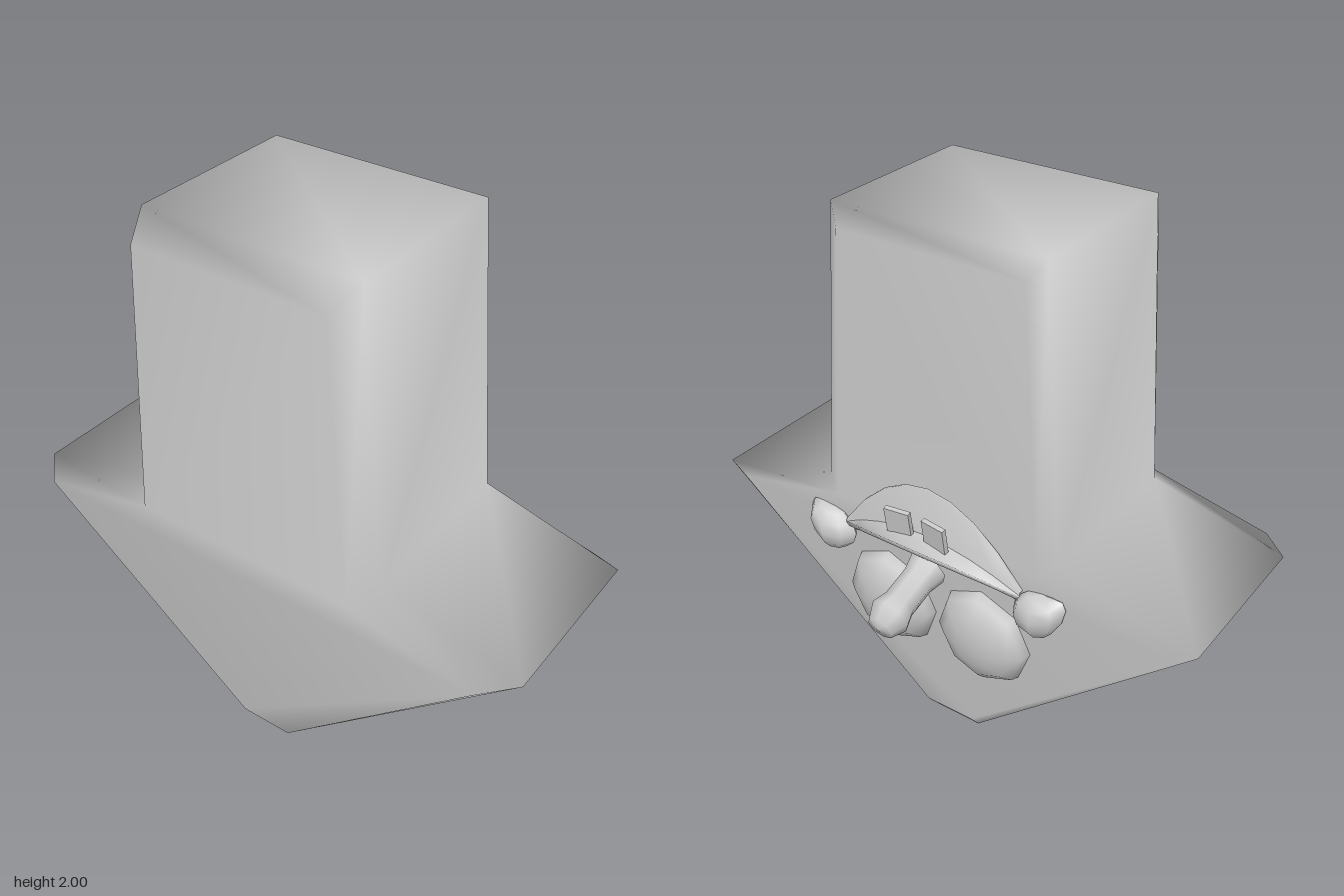
import * as THREE from 'three';

const grey = new THREE.MeshStandardMaterial({ color: 0xcccccc });
const greyThin = new THREE.MeshStandardMaterial({ color: 0xcccccc, side: THREE.DoubleSide });

function add(group, name, geometry, material = grey) {
  const mesh = new THREE.Mesh(geometry, material);
  mesh.name = name;
  group.add(mesh);
  return mesh;
}

function indexed(points, faces) {
  const g = new THREE.BufferGeometry();
  g.setAttribute('position', new THREE.Float32BufferAttribute(points.flat(), 3));
  g.setIndex(faces.flat());
  g.computeVertexNormals();
  return g;
}

// Arrow-shaped block: bevelled outline, thinner towards the point
function arrowBlock() {
  const mirror = (half) => [[-half[0][0], half[0][1]], ...half, ...half.slice(1).reverse().map(([x, y]) => [-x, y])];
  const outer = mirror([[0.4, 2], [0.48, 0.96], [0.99, 0.83], [0.11, 0]]);
  const inner = mirror([[0.35, 1.93], [0.42, 0.92], [0.88, 0.82], [0.1, 0.045]]);
  const taper = (y, wide, narrow) => narrow + (wide - narrow) * Math.min(1, y / 0.82);
  const rings = [[inner, 0.55, 0.46], [outer, 0.44, 0.37], [outer, -0.2, -0.12], [inner, -0.24, -0.15]];
  const points = [];
  const faces = [];
  rings.forEach(([ring, wide, narrow]) => ring.forEach(([x, y]) => points.push([x, y, taper(y, wide, narrow)])));
  for (let r = 0; r < 3; r++) {
    for (let i = 0; i < 8; i++) {
      const a = r * 8 + i, b = r * 8 + (i + 1) % 8;
      faces.push([a, b, a + 8], [b, b + 8, a + 8]);
    }
  }
  const cap = [[0, 7, 1], [1, 7, 2], [7, 6, 3], [7, 3, 2], [6, 5, 3], [5, 4, 3]];
  cap.forEach(([a, b, c]) => faces.push([a, b, c], [a + 24, c + 24, b + 24]));
  return indexed(points, faces);
}

// Strip lofted across x; profile(w) gives [y, z] points, w is 1 in the middle and 0 at the ends
function loft(halfWidth, steps, profile) {
  const points = [];
  const faces = [];
  const n = profile(1).length;
  for (let i = 0; i <= steps; i++) {
    const u = (i / steps) * 2 - 1;
    profile(1 - u * u).forEach(([y, z]) => points.push([u * halfWidth, y, z]));
    if (i === steps) continue;
    for (let k = 0; k < n - 1; k++) {
      const a = i * n + k, b = a + n;
      faces.push([a, a + 1, b], [b, a + 1, b + 1]);
    }
  }
  return indexed(points, faces);
}

export function createModel() {
  const model = new THREE.Group();
  model.name = 'arrowWithFace';
  add(model, 'arrowBlock', arrowBlock());

  // Upside-down face on the back
  const face = new THREE.Group();
  face.name = 'face';
  model.add(face);

  add(face, 'lowerLip', loft(0.37, 8, (w) => [
    [0.84 + 0.27 * w, -0.24 - 0.02 * w],
    [0.84 + 0.27 * w, -0.255 - 0.015 * w],
    [0.83 + 0.12 * w, -0.26 - 0.04 * w],
  ]), greyThin);
  add(face, 'upperLip', loft(0.37, 8, (w) => [
    [0.83 + 0.12 * w, -0.25 - 0.03 * w],
    [0.83 + 0.11 * w, -0.26 - 0.12 * w],
    [0.81 + 0.05 * w, -0.255 - 0.055 * w],
    [0.78 + 0.02 * w, -0.23],
  ]), greyThin);

  // Long nose with a bulbous tip, angled slightly down
  const noseProfile = [[0.075, 0], [0.06, 0.06], [0.06, 0.17], [0.077, 0.225], [0.05, 0.28], [0, 0.29]];
  const nose = add(face, 'nose', new THREE.LatheGeometry(noseProfile.map(([r, h]) => new THREE.Vector2(r, h)), 8));
  nose.position.set(0, 0.79, -0.27);
  nose.rotation.x = -Math.PI / 2 - 0.32;

  for (const [s, side] of [[1, 'left'], [-1, 'right']]) {
    // Octagonal domed eye lying on the sloping face
    const eye = add(face, side + 'Eye', new THREE.SphereGeometry(1, 8, 8).rotateX(Math.PI / 2));
    eye.scale.set(0.19, 0.205, 0.1);
    eye.position.set(s * 0.2, 0.55, -0.205);
    eye.rotation.x = -0.12;

    // Cheek with its outer corner pulled up to a point
    const cheekShape = new THREE.SphereGeometry(1, 8, 6);
    const p = cheekShape.attributes.position;
    for (let i = 0; i < p.count; i++) {
      const out = Math.max(0, p.getX(i) * s);
      p.setXYZ(i, p.getX(i) * 0.1, p.getY(i) * 0.085 + 0.06 * out * out, p.getZ(i) * 0.07);
    }
    cheekShape.computeVertexNormals();
    add(face, side + 'Cheek', cheekShape).position.set(s * 0.44, 0.775, -0.245);

    const tooth = add(face, side + 'Tooth', new THREE.BoxGeometry(0.095, 0.1, 0.018));
    tooth.position.set(s * 0.075, 0.985, -0.325);
    tooth.rotation.set(-0.15, s * 0.12, 0);
  }
  return model;
}
